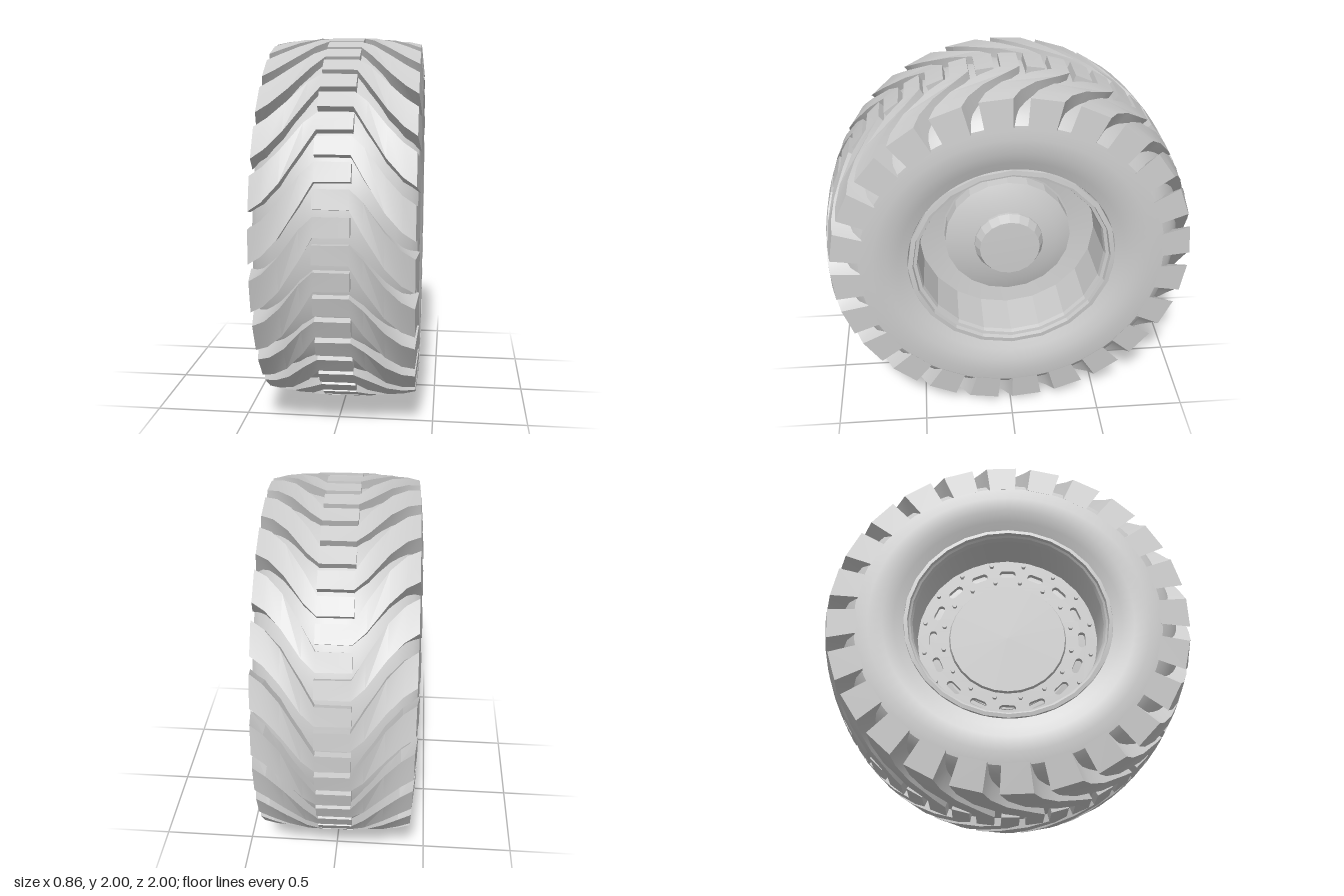
import * as THREE from 'three';
import { toCreasedNormals } from 'three/addons/utils/BufferGeometryUtils.js';

const grey = new THREE.MeshStandardMaterial({ color: 0xcccccc });
const greyDouble = new THREE.MeshStandardMaterial({ color: 0xcccccc, side: THREE.DoubleSide });
const DEG = Math.PI / 180;
const LUGS = 24;

// Revolves [radius, x] points around the axle (x axis).
function revolve(name, points, segments, crease) {
  const geo = new THREE.LatheGeometry(points.map(([r, x]) => new THREE.Vector2(r, x)), segments);
  geo.rotateZ(-Math.PI / 2);
  const mesh = new THREE.Mesh(toCreasedNormals(geo, crease), greyDouble);
  mesh.name = name;
  return mesh;
}

// Lug stations: x, top radius, bottom x, bottom radius, sweep angle, angular width
const stations = [
  [-0.09, 1.0, -0.09, 0.94, 0, 5.4],
  [0.085, 1.0, 0.085, 0.94, 0, 5.6],
  [0.15, 0.998, 0.15, 0.93, 5, 8.6],
  [0.25, 0.99, 0.25, 0.9, 13.5, 9.8],
  [0.33, 0.98, 0.33, 0.86, 18.5, 10],
  [0.395, 0.966, 0.412, 0.81, 21, 10],
];

// One chevron arm: pad across the centre, arm sweeping out to the shoulder
function lugGeometry(side) {
  const pos = [];
  const rings = stations.map(([xt, rt, xb, rb, sweep, width]) => {
    const lo = (sweep - width / 2) * DEG, hi = (sweep + width / 2) * DEG;
    return [[xb, rb, lo], [xt, rt, lo], [xt, rt, hi], [xb, rb, hi]]
      .map(([x, r, a]) => [side * x, r * Math.cos(a), r * Math.sin(a)]);
  });
  const quad = (a, b, c, d) => {
    const order = side > 0 ? [a, b, c, a, c, d] : [a, c, b, a, d, c];
    order.forEach((p) => pos.push(...p));
  };
  for (let i = 0; i < rings.length - 1; i++) {
    for (let k = 0; k < 4; k++) {
      const n = (k + 1) % 4;
      quad(rings[i][k], rings[i][n], rings[i + 1][n], rings[i + 1][k]);
    }
  }
  const [first, last] = [rings[0], rings[rings.length - 1]];
  quad(first[3], first[2], first[1], first[0]);
  quad(last[0], last[1], last[2], last[3]);
  const geo = new THREE.BufferGeometry();
  geo.setAttribute('position', new THREE.Float32BufferAttribute(pos, 3));
  geo.computeVertexNormals();
  return toCreasedNormals(geo, 0.4);
}

// Rounded slot running along the tangent of a circle
function slotPath(angle, radius, halfLength, halfWidth) {
  const path = new THREE.Path();
  const cx = Math.cos(angle) * radius, cy = Math.sin(angle) * radius;
  const tx = -Math.sin(angle) * halfLength, ty = Math.cos(angle) * halfLength;
  path.absarc(cx + tx, cy + ty, halfWidth, angle, angle + Math.PI, false);
  path.absarc(cx - tx, cy - ty, halfWidth, angle + Math.PI, angle + 2 * Math.PI, false);
  path.closePath();
  return path;
}

export function createModel() {
  const model = new THREE.Group();
  const wheel = new THREE.Group();
  wheel.name = 'wheel';
  wheel.position.y = 1;
  wheel.rotation.y = 0.02;
  model.add(wheel);

  // Tyre carcass: half profile from tread centre to bead, mirrored
  const half = [
    [0.962, 0.05], [0.955, 0.12], [0.938, 0.2], [0.9, 0.3], [0.86, 0.37], [0.82, 0.4],
    [0.75, 0.41], [0.67, 0.406], [0.61, 0.385], [0.56, 0.365], [0.55, 0.34],
  ];
  const carcass = half.map(([r, x]) => [r, -x]).reverse().concat(half);
  wheel.add(revolve('tyreCarcass', carcass, 72, 0.5));

  // Tread lugs, staggered by half a pitch between the two sides
  for (const side of [1, -1]) {
    const geo = lugGeometry(side);
    const tread = new THREE.Group();
    tread.name = side > 0 ? 'leftTread' : 'rightTread';
    for (let i = 0; i < LUGS; i++) {
      const lug = new THREE.Mesh(geo, grey);
      lug.name = 'treadLug';
      const centre = 5.1 - 21 + (side > 0 ? 0 : 7.5) + (i * 360) / LUGS;
      lug.rotation.x = centre * DEG;
      tread.add(lug);
    }
    wheel.add(tread);
  }

  // Outer rim: stepped lip, deep barrel, dish and hub cap
  wheel.add(revolve('outerRim', [
    [0.56, 0.35], [0.56, 0.375], [0.535, 0.378], [0.53, 0.355], [0.512, 0.352],
    [0.505, 0.33], [0.495, 0.08], [0.36, 0.06],
  ], 20, 0.25));
  wheel.add(revolve('hubDisc', [[0.35, 0.05], [0.35, 0.14], [0.27, 0.17], [0.19, 0.185]], 20, 0.25));
  wheel.add(revolve('hubCap', [[0.19, 0.18], [0.19, 0.2], [0.165, 0.25], [0, 0.255]], 20, 0.25));
  wheel.add(revolve('hubBack', [[0.37, 0.06], [0, 0.05]], 20, 0.25));

  // Inner rim: lip and barrel down to the bolted plate
  wheel.add(revolve('innerRim', [
    [0.5, -0.11], [0.515, -0.33], [0.525, -0.352], [0.535, -0.36], [0.54, -0.378],
    [0.56, -0.375], [0.56, -0.35],
  ], 28, 0.25));

  // Slotted plate on the inner side
  const shape = new THREE.Shape();
  shape.absarc(0, 0, 0.505, 0, Math.PI * 2, false);
  const COUNT = 16;
  for (let i = 0; i < COUNT; i++) {
    shape.holes.push(slotPath((i / COUNT) * Math.PI * 2, 0.415, 0.026, 0.02));
  }
  const plateGeo = new THREE.ExtrudeGeometry(shape, { depth: 0.03, bevelEnabled: false, curveSegments: 10 });
  plateGeo.rotateY(-Math.PI / 2);
  const plate = new THREE.Mesh(plateGeo, grey);
  plate.name = 'slottedPlate';
  plate.position.x = -0.1;
  wheel.add(plate);
  wheel.add(revolve('innerHubCover', [[0, -0.145], [0.32, -0.145], [0.33, -0.125]], 28, 0.25));

  // Bolt circles either side of the slots
  const boltGeo = new THREE.CylinderGeometry(0.012, 0.012, 0.024, 6).rotateZ(Math.PI / 2);
  const bolts = new THREE.Group();
  bolts.name = 'plateBolts';
  for (const radius of [0.36, 0.47]) {
    for (let i = 0; i < COUNT; i++) {
      const a = ((i + 0.5) / COUNT) * Math.PI * 2;
      const bolt = new THREE.Mesh(boltGeo, grey);
      bolt.name = 'bolt';
      bolt.position.set(-0.14, Math.sin(a) * radius, Math.cos(a) * radius);
      bolts.add(bolt);
    }
  }
  wheel.add(bolts);
  return model;
}
